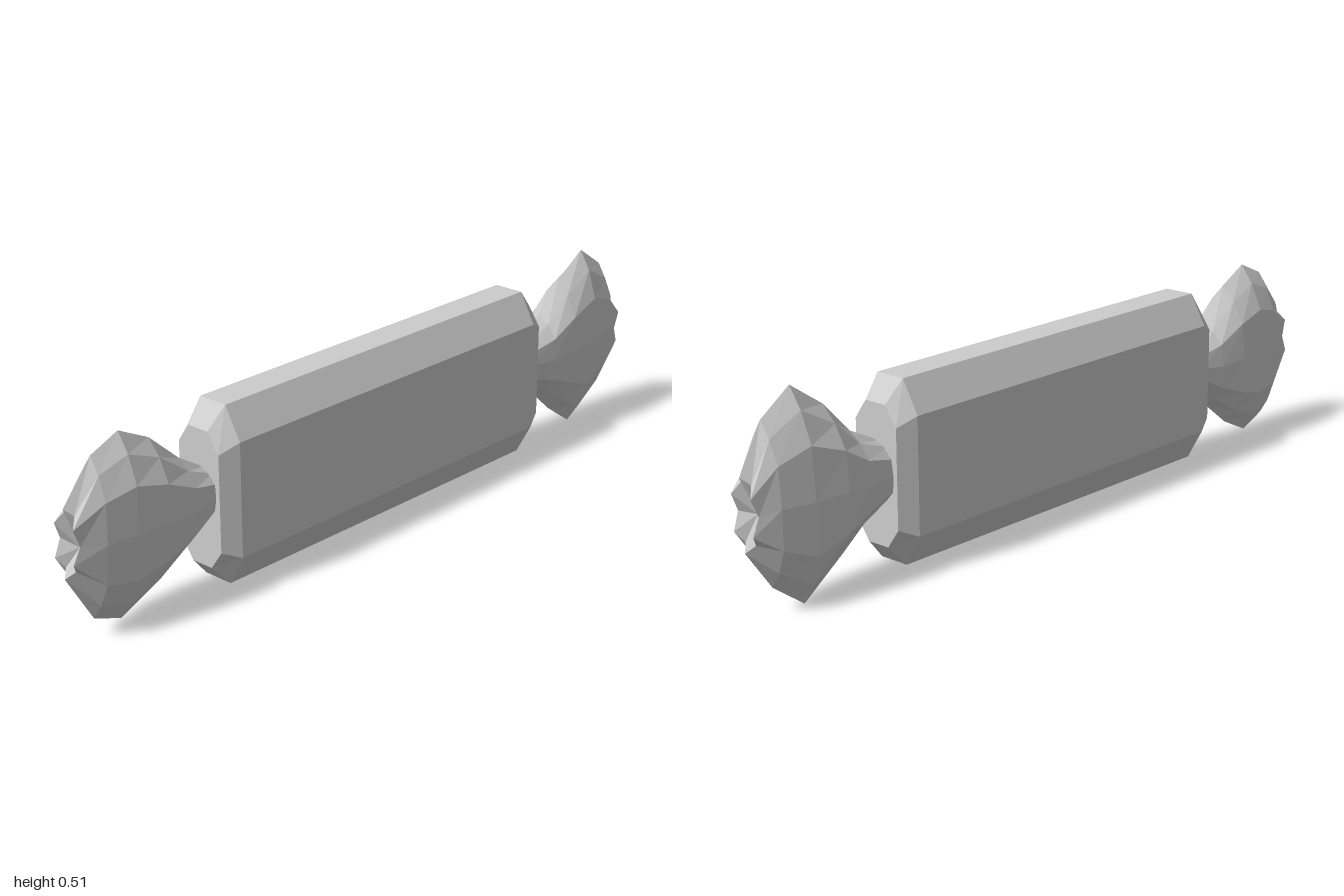
import * as THREE from 'three';

// Skins a row of cross-sections (ordered along +x) and closes both ends with fans.
function loft(rings, startCentre, endCentre) {
  const n = rings[0].length;
  const pos = [];
  const tri = (a, b, c) => pos.push(...a, ...b, ...c);
  for (let i = 0; i < rings.length - 1; i++) {
    for (let j = 0; j < n; j++) {
      const k = (j + 1) % n;
      const a = rings[i][j], b = rings[i + 1][j], c = rings[i + 1][k], d = rings[i][k];
      tri(a, b, c);
      tri(a, c, d);
    }
  }
  const first = rings[0], last = rings[rings.length - 1];
  for (let j = 0; j < n; j++) {
    const k = (j + 1) % n;
    tri(startCentre, first[j], first[k]);
    tri(endCentre, last[k], last[j]);
  }
  const g = new THREE.BufferGeometry();
  g.setAttribute('position', new THREE.Float32BufferAttribute(pos, 3));
  g.computeVertexNormals();
  return g;
}

// Chamfered octagonal section of the bar
function octagon(x, sideZ, sideY, topZ, topY) {
  const cy = 0.245;
  return [
    [sideZ, -sideY], [sideZ, sideY], [topZ, topY], [-topZ, topY],
    [-sideZ, sideY], [-sideZ, -sideY], [-topZ, -topY], [topZ, -topY],
  ].map(([z, y]) => [x, cy + y, z]);
}

// Pleated, slightly leaning oval section of a twisted wrapper end
function pleatRing([x, top, bottom, rz], index, side) {
  const n = 12, ring = [];
  const cy = (top + bottom) / 2, ry = (top - bottom) / 2;
  const rim = index === 5;
  for (let j = 0; j < n; j++) {
    const t = (j / n) * Math.PI * 2;
    const fold = j % 2 ? 1 : (index > 0 ? 0.92 : 0.97);
    const y = Math.sin(t) * ry * fold;
    const z = Math.cos(t) * rz * (j % 2 ? 1.04 : 0.97) + y * 0.048;
    const dx = rim && j % 2 === 0 ? -0.018 : 0;
    ring.push([side * (x + dx), cy + y, z]);
  }
  return ring;
}

// Rows: distance from the middle, top, bottom, half depth
const leftProfile = [
  [0.58, 0.325, 0.18, 0.055], [0.67, 0.37, 0.13, 0.068], [0.745, 0.45, 0.065, 0.075],
  [0.84, 0.515, 0.0, 0.068], [0.93, 0.455, 0.065, 0.054], [1.0, 0.34, 0.165, 0.036],
];
const rightProfile = [
  [0.58, 0.32, 0.2, 0.055], [0.66, 0.37, 0.13, 0.068], [0.75, 0.45, 0.06, 0.075],
  [0.84, 0.495, 0.018, 0.07], [0.92, 0.46, 0.05, 0.056], [1.0, 0.355, 0.18, 0.036],
];

function wrapperEnd(profile, side) {
  const rings = profile.map((row, i) => pleatRing(row, i, side));
  const inner = [side * 0.57, 0.25, 0];
  const outer = [side * 0.955, 0.245, 0]; // hollow middle of the ruffle
  return side > 0 ? loft(rings, inner, outer) : loft(rings.reverse(), outer, inner);
}

export function createModel() {
  const group = new THREE.Group();
  group.name = 'wrappedCandy';
  const wrapper = new THREE.MeshStandardMaterial({ color: 0xcccccc, flatShading: true });
  wrapper.name = 'wrapper grey';

  const add = (name, geometry) => {
    const mesh = new THREE.Mesh(geometry, wrapper);
    mesh.name = name;
    group.add(mesh);
  };

  // Bar with bevelled ends
  const body = [
    octagon(-0.592, 0.067, 0.125, 0.032, 0.175),
    octagon(-0.542, 0.0875, 0.148, 0.042, 0.23),
    octagon(0.542, 0.0875, 0.148, 0.042, 0.23),
    octagon(0.592, 0.067, 0.125, 0.032, 0.175),
  ];
  add('candyBar', loft(body, [-0.592, 0.245, 0], [0.592, 0.245, 0]));

  // Twisted ends
  add('leftWrapperEnd', wrapperEnd(leftProfile, 1));
  add('rightWrapperEnd', wrapperEnd(rightProfile, -1));
  return group;
}
